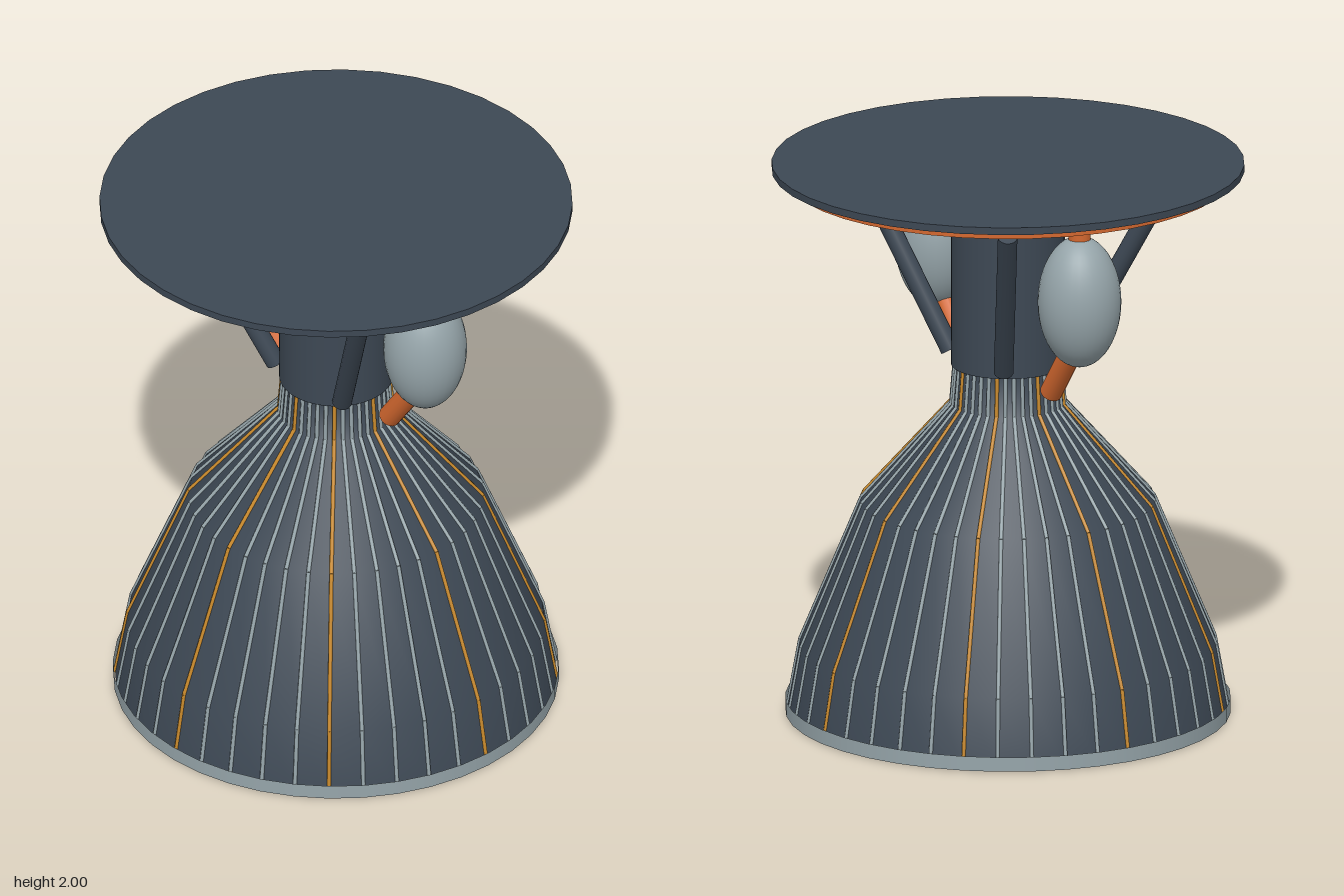
import * as THREE from 'three';
import { mergeGeometries } from 'three/addons/utils/BufferGeometryUtils.js';

const material = (name, color, side = THREE.FrontSide) => {
  const m = new THREE.MeshStandardMaterial({ color, side });
  m.name = name;
  return m;
};

// Cylinder running from point a to point b
function rodGeometry(a, b, radius, sides = 16) {
  const dir = b.clone().sub(a);
  const g = new THREE.CylinderGeometry(radius, radius, dir.length(), sides);
  g.applyQuaternion(new THREE.Quaternion().setFromUnitVectors(
    new THREE.Vector3(0, 1, 0), dir.normalize()));
  const mid = a.clone().add(b).multiplyScalar(0.5);
  return g.translate(mid.x, mid.y, mid.z);
}

export function createModel() {
  const model = new THREE.Group();
  model.name = 'rocketEngine';
  const dark = material('darkSteel', 0x3d4854, THREE.DoubleSide);
  const grey = material('paleGrey', 0x96a5aa, THREE.DoubleSide);
  const orange = material('orange', 0xd4682f);
  const gold = material('gold', 0xc8892b);

  const add = (name, geometry, mat, x = 0, y = 0, z = 0) => {
    const mesh = new THREE.Mesh(geometry, mat);
    mesh.name = name;
    mesh.position.set(x, y, z);
    model.add(mesh);
    return mesh;
  };
  const v = (x, y, z) => new THREE.Vector3(x, y, z);
  const disc = (r, h) => new THREE.CylinderGeometry(r, r, h, 40);

  // Open nozzle bell
  const profile = [[0.775, 0], [0.73, 0.25], [0.515, 0.77], [0.2, 1.125], [0.188, 1.27]];
  add('nozzleBell', new THREE.LatheGeometry(
    profile.map(([r, y]) => new THREE.Vector2(r, y)), 40), dark);

  // Cooling ribs following the bell, every fifth one gold
  const greyRibs = [], goldRibs = [];
  for (let i = 0; i < 40; i++) {
    const angle = (i / 40) * Math.PI * 2;
    const points = profile.map(([r, y]) => v(Math.sin(angle) * r, y, Math.cos(angle) * r));
    for (let k = 0; k < points.length - 1; k++) {
      (i % 5 ? greyRibs : goldRibs).push(rodGeometry(points[k], points[k + 1], 0.0075, 6));
    }
  }
  add('coolingRibs', mergeGeometries(greyRibs), grey);
  add('goldRibs', mergeGeometries(goldRibs), gold);

  // Band around the mouth of the bell
  add('rimBand', new THREE.CylinderGeometry(0.782, 0.782, 0.052, 40, 1, true), grey, 0, 0.026, 0);

  // Combustion chamber and mounting plates
  add('combustionChamber', disc(0.2, 0.52), dark, 0, 1.525, 0);
  add('lowerPlate', disc(0.78, 0.03), orange, 0, 1.96, 0);
  add('upperPlate', disc(0.83, 0.026), dark, 0, 1.987, 0);

  for (const s of [-1, 1]) {
    const side = s > 0 ? 'left' : 'right';

    // Turbopump with its inlet and outlet pipes
    const pump = add(side + 'Pump', new THREE.SphereGeometry(1, 32, 24), grey, s * 0.457, 1.602, 0);
    pump.scale.set(0.147, 0.237, 0.147);
    add(side + 'InletPipe', rodGeometry(v(s * 0.457, 1.7, 0), v(s * 0.457, 1.925, 0), 0.04), orange);
    add(side + 'OutletPipe', rodGeometry(v(s * 0.275, 1.225, 0), v(s * 0.43, 1.44, 0), 0.04), orange);

    // Slanted thrust struts, front and back
    for (const f of [-1, 1]) {
      add(side + (f > 0 ? 'FrontStrut' : 'BackStrut'),
        rodGeometry(v(s * 0.17, 1.295, f * 0.13), v(s * 0.455, 1.885, f * 0.3), 0.035), dark);
    }
  }
  return model;
}
